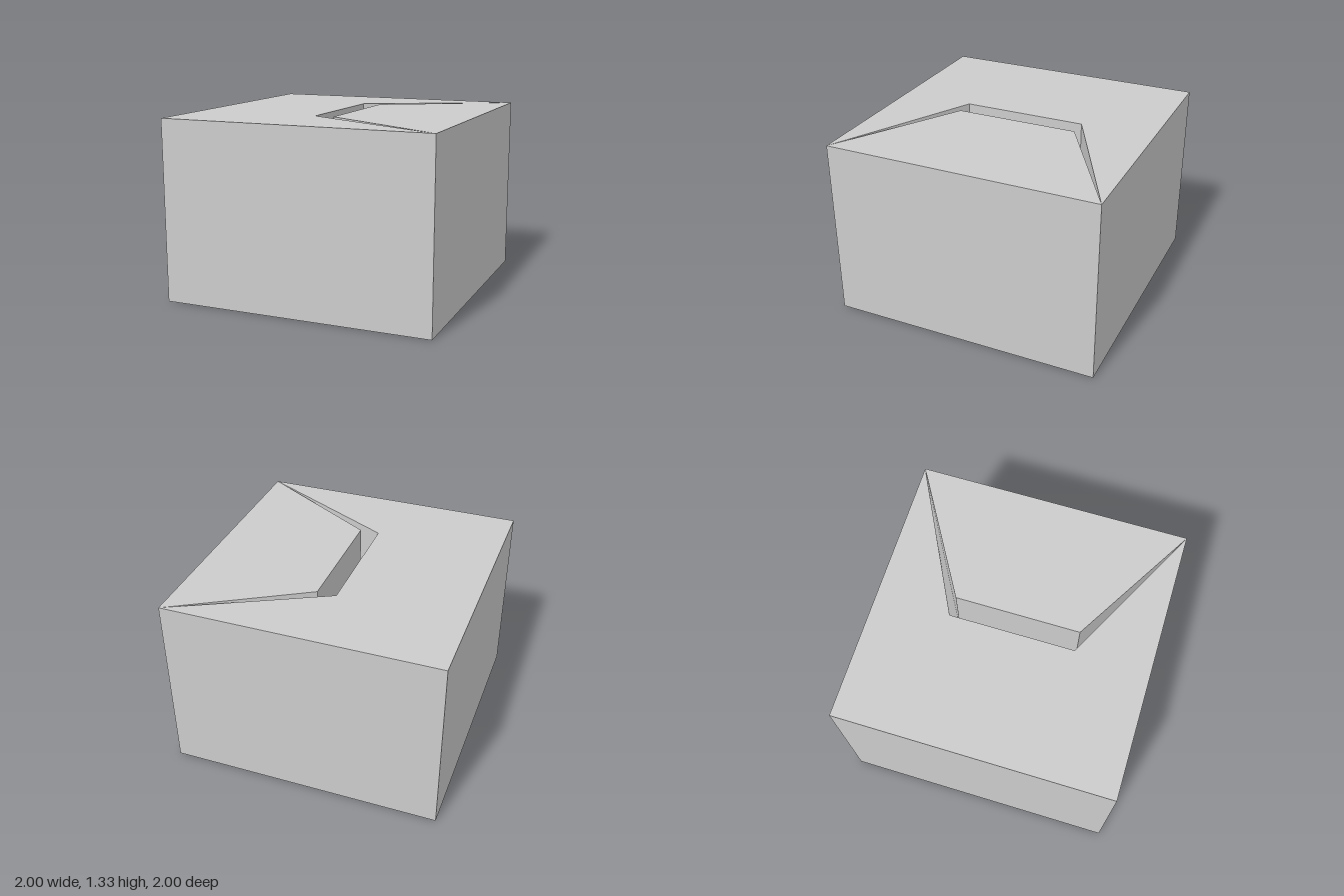
import * as THREE from 'three';

const H = 1.333;       // block height
const FLOOR = 0.667;   // level of the groove floor
const GX = 0.07, GZ = 0.455;

export function createModel() {
  const group = new THREE.Group();
  const material = new THREE.MeshStandardMaterial({ color: 0xcccccc });
  const add = (name, geometry) => {
    const mesh = new THREE.Mesh(geometry, material);
    mesh.name = name;
    group.add(mesh);
    return mesh;
  };

  // Flat polygons given as convex corner loops, counter-clockwise from the front
  const polygons = (loops) => {
    const positions = [];
    for (const loop of loops)
      for (let i = 1; i < loop.length - 1; i++)
        positions.push(...loop[0], ...loop[i], ...loop[i + 1]);
    const geometry = new THREE.BufferGeometry();
    geometry.setAttribute('position', new THREE.Float32BufferAttribute(positions, 3));
    geometry.computeVertexNormals();
    return geometry;
  };

  // Block sides and base: a box without its top face
  const block = new THREE.BoxGeometry(2, H, 2).translate(0, H / 2, 0);
  const index = Array.from(block.index.array);
  index.splice(12, 6);
  block.setIndex(index);
  block.clearGroups();
  add('block', block);

  // Top face in two parts, either side of the groove
  const topPart = (name, points) => {
    const shape = new THREE.Shape(points.map(([x, z]) => new THREE.Vector2(x, -z)));
    add(name, new THREE.ShapeGeometry(shape).rotateX(-Math.PI / 2).translate(0, H, 0));
  };
  topPart('outerTop', [[-1, -1], [-1, 1], [1, 1], [-GX, GZ], [-GX, -GZ], [1, -1]]);
  topPart('innerTop', [[1, -1], [GX, -GZ], [GX, GZ], [1, 1]]);

  // Groove outline: x, z and the level of the groove bottom there
  const outline = [
    [1, -1, H], [-GX, -GZ, FLOOR], [-GX, GZ, FLOOR],
    [1, 1, H], [GX, GZ, FLOOR], [GX, -GZ, FLOOR],
  ];
  const top = ([x, z]) => [x, H, z];
  const bottom = ([x, z, y]) => [x, y, z];

  // Upright walls, narrowing to nothing at the two block corners
  add('grooveWalls', polygons(outline.map((p, i) => {
    const q = outline[(i + 1) % outline.length];
    return p[2] === H
      ? [top(p), top(q), bottom(q)]
      : q[2] === H
        ? [top(p), top(q), bottom(p)]
        : [top(p), top(q), bottom(q), bottom(p)];
  })));

  // Level floor and the ramps that rise to the block corners
  const [backCorner, b1, f1, frontCorner, f2, b2] = outline.map(bottom);
  add('grooveFloor', polygons([[b1, f1, f2, b2]]));
  add('backRamp', polygons([[b1, b2, backCorner]]));
  add('frontRamp', polygons([[f2, f1, frontCorner]]));

  return group;
}
